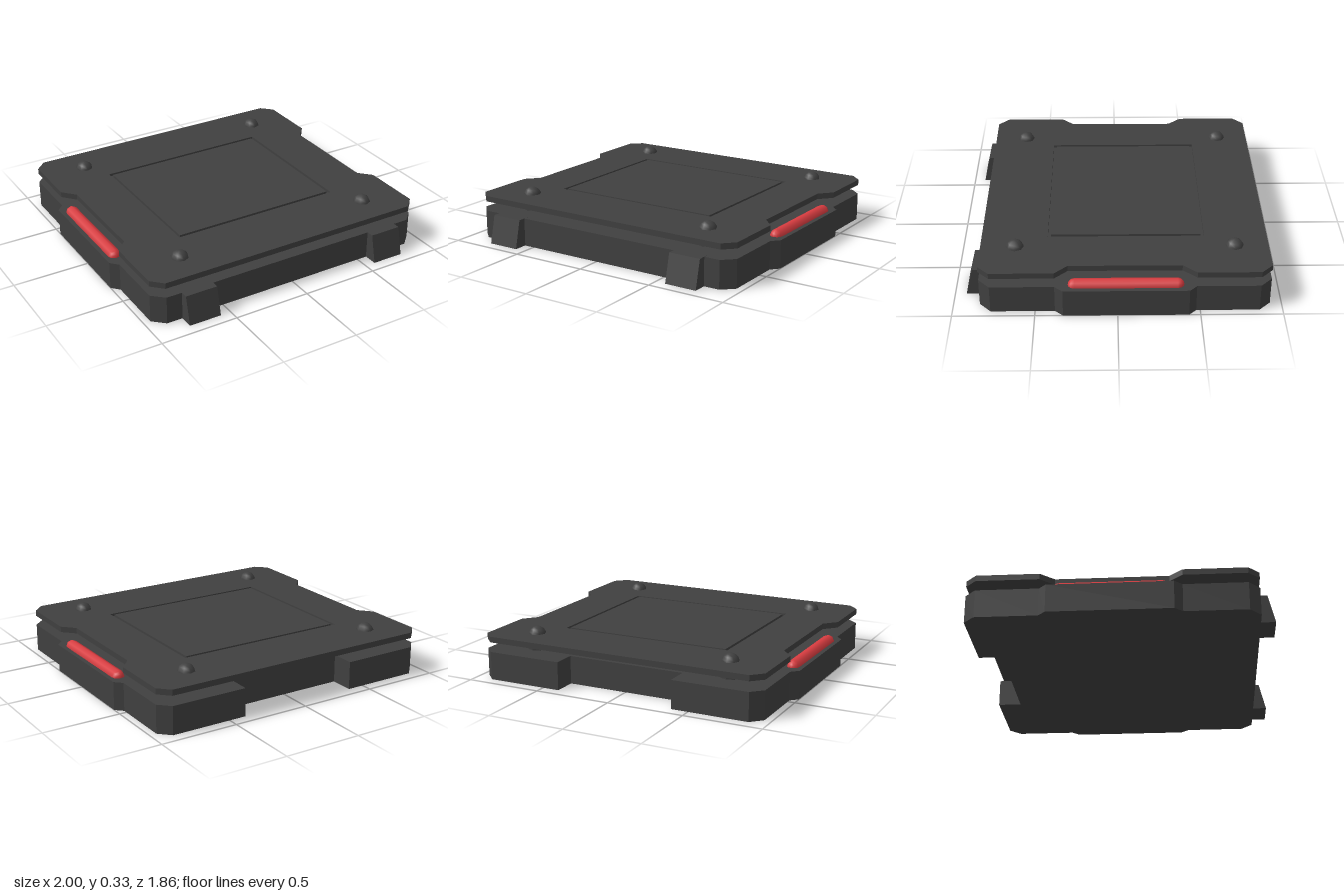
import * as THREE from 'three';

const dark = new THREE.MeshStandardMaterial({ color: 0x404040, flatShading: true });
const knob = new THREE.MeshStandardMaterial({ color: 0x404040 });
const red = new THREE.MeshStandardMaterial({ color: 0xd83c40 });

// Closed outline from the +x half, listed front to back as [x, z], mirrored to -x
function mirroredShape(half) {
  const other = half.map(([x, z]) => [-x, z]).reverse();
  return new THREE.Shape([...half, ...other].map(([x, z]) => new THREE.Vector2(x, -z)));
}

// Horizontal slab between two heights
function slab(shape, y0, y1) {
  const g = new THREE.ExtrudeGeometry(shape, { depth: y1 - y0, bevelEnabled: false });
  return g.rotateX(-Math.PI / 2).translate(0, y0, 0);
}

export function createModel() {
  const model = new THREE.Group();
  const add = (name, geometry, material, x = 0, y = 0, z = 0) => {
    const mesh = new THREE.Mesh(geometry, material);
    mesh.name = name;
    mesh.position.set(x, y, z);
    model.add(mesh);
    return mesh;
  };

  // Base with chamfered corners, side bulges and a recess in the back
  add('base', slab(mirroredShape([
    [0.88, 0.84], [0.955, 0.77], [0.955, 0.38], [1, 0.33], [1, -0.43], [0.955, -0.475],
    [0.955, -0.86], [0.885, -0.93], [0.39, -0.93], [0.39, -0.78],
  ]), 0, 0.18), dark);

  // Floating cover plate, notched around the lights, with a window for the panel
  const plate = mirroredShape([
    [0.885, 0.84], [0.955, 0.77], [0.955, 0.38], [0.88, 0.3], [0.88, -0.39], [0.955, -0.475],
    [0.955, -0.86], [0.885, -0.93],
  ]);
  plate.holes.push(new THREE.Path([
    [-0.573, -0.43], [-0.573, 0.54], [0.567, 0.54], [0.567, -0.43],
  ].map(([x, y]) => new THREE.Vector2(x, y))));
  add('coverPlate', slab(plate, 0.243, 0.28), dark);

  // Inset panel and the floor of the groove around it
  add('panel', new THREE.BoxGeometry(1.1, 0.03, 0.93), dark, -0.003, 0.265, -0.055);
  add('grooveFloor', new THREE.BoxGeometry(1.14, 0.02, 0.97), dark, -0.003, 0.253, -0.055);

  // Four posts with domed heads
  for (const x of [-0.675, 0.67]) {
    for (const z of [-0.72, 0.628]) {
      add('post', new THREE.CylinderGeometry(0.062, 0.062, 0.12, 8), dark, x, 0.22, z);
      const dome = new THREE.SphereGeometry(0.058, 8, 4, 0, Math.PI * 2, 0, Math.PI / 2);
      add('postHead', dome, knob, x, 0.268, z);
    }
  }

  for (const side of [-1, 1]) {
    // Side light strip
    const strip = new THREE.CapsuleGeometry(0.04, 0.62, 3, 8).rotateX(Math.PI / 2);
    add('lightStrip', strip, red, side * 0.932, 0.18, -0.05);

    // Front clip with a sloping face
    const profile = new THREE.Shape([
      [0.8, 0], [0.93, 0], [0.887, 0.18], [0.8, 0.18],
    ].map(([z, y]) => new THREE.Vector2(-z, y)).reverse());
    const clip = new THREE.ExtrudeGeometry(profile, { depth: 0.21, bevelEnabled: false });
    clip.translate(0, 0, -0.105).rotateY(Math.PI / 2);
    add('frontClip', clip, dark, side * 0.673, 0.0005, 0);
  }
  return model;
}
